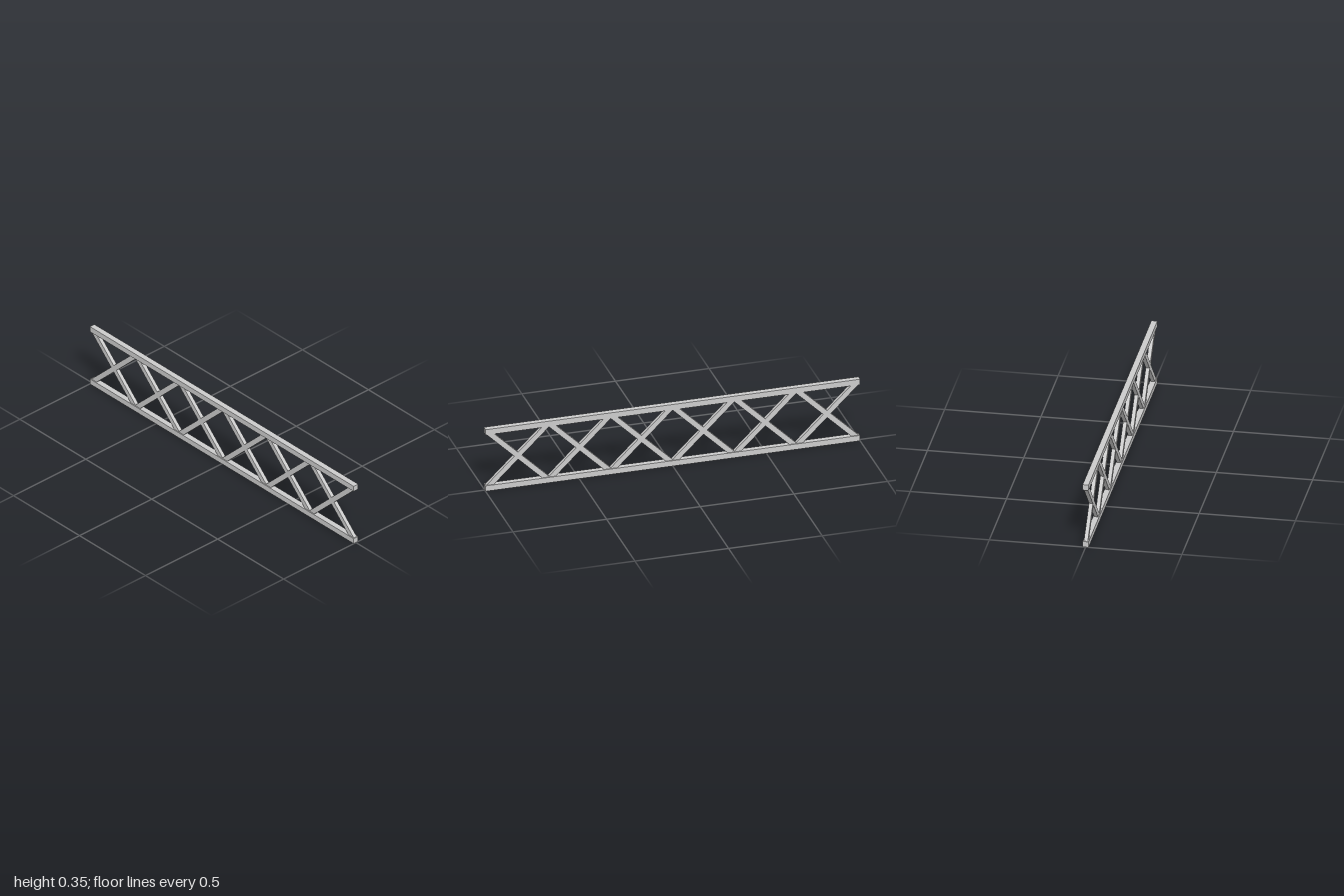
import * as THREE from 'three';

export function createModel() {
  const group = new THREE.Group();
  const material = new THREE.MeshStandardMaterial({ color: 0xcccccc, flatShading: true });

  const height = 0.352, rail = 0.031;
  const panels = 6, pitch = 0.33;
  const braceWidth = 0.028, braceDepth = 0.0205;

  const addBox = (name, w, h, d, x, y, angle = 0) => {
    const mesh = new THREE.Mesh(new THREE.BoxGeometry(w, h, d), material);
    mesh.name = name;
    mesh.position.set(x, y, 0);
    mesh.rotation.z = angle;
    group.add(mesh);
  };

  // Top and bottom chords
  addBox('bottomRail', 2, rail, rail, 0, rail / 2);
  addBox('topRail', 2, rail, rail, 0, height - rail / 2);

  // Crossed braces, ending inside the chords
  const rise = height - rail;
  const length = Math.hypot(pitch, rise);
  const angle = Math.atan2(rise, pitch);
  for (let i = 0; i < panels; i++) {
    const x = (i - (panels - 1) / 2) * pitch;
    addBox('risingBrace', length, braceWidth, braceDepth, x, height / 2, angle);
    addBox('fallingBrace', length, braceWidth, braceDepth, x, height / 2, -angle);
  }
  return group;
}
